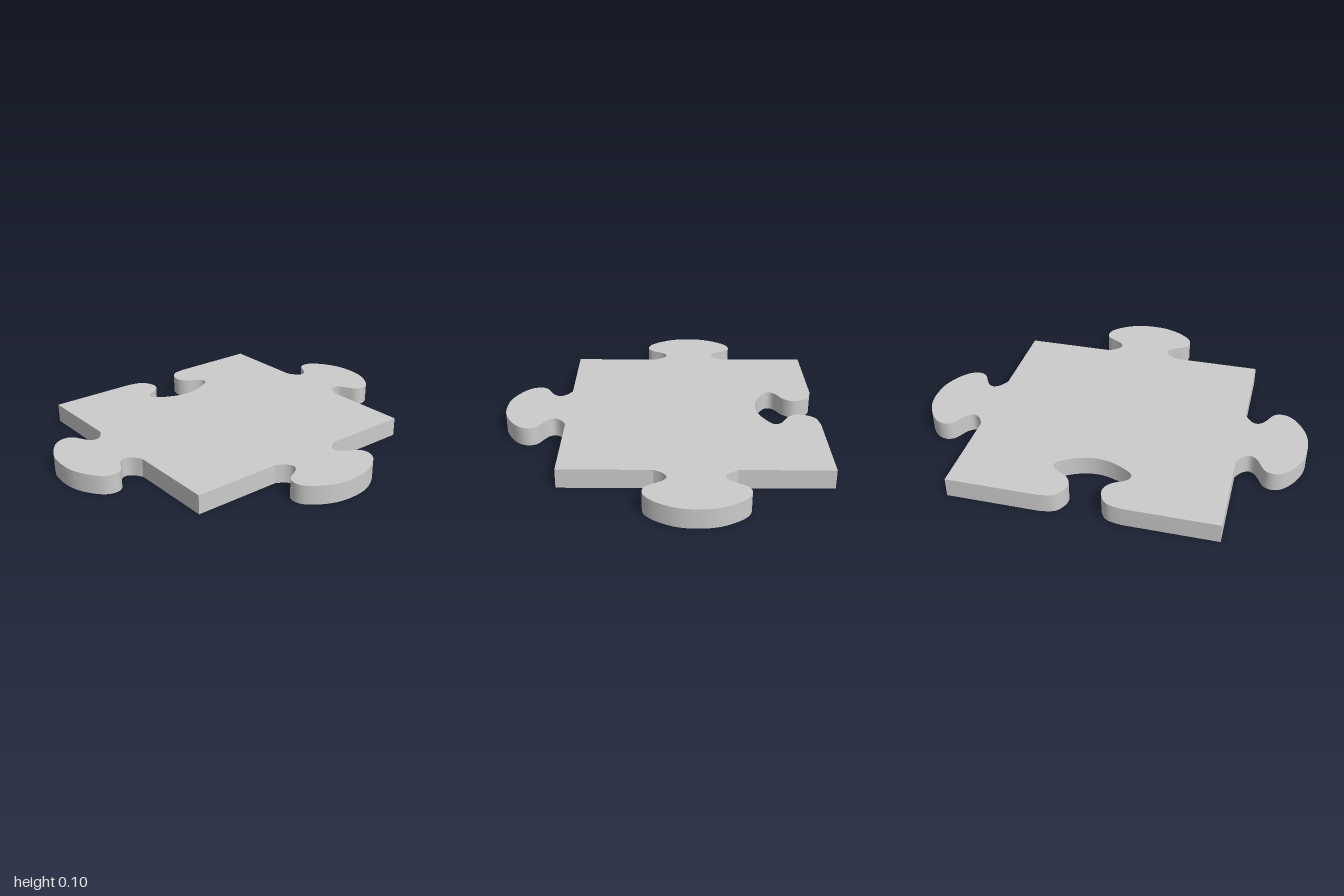
import * as THREE from 'three';
import { toCreasedNormals } from 'three/addons/utils/BufferGeometryUtils.js';

const HALF = 0.665;      // half the side of the square body
const CENTRE_X = -0.1675;
const THICKNESS = 0.1;

// Half profiles as [distance from edge middle, distance outward], ending at the tip
const TAB = [[0.2, 0], [0.158, 0.027], [0.138, 0.06], [0.15, 0.09], [0.18, 0.112], [0.235, 0.145],
  [0.25, 0.19], [0.23, 0.24], [0.172, 0.288], [0.09, 0.325], [0, 0.335]];
const SOCKET = [[0.2, 0], [0.13, -0.015], [0.095, -0.055], [0.082, -0.11], [0.11, -0.16], [0.17, -0.195],
  [0.193, -0.225], [0.178, -0.26], [0.09, -0.308], [0, -0.325]];

// Mirror a half profile and smooth it into one curve along the edge
function edgeCurve(half) {
  const first = half.map(([s, d]) => new THREE.Vector2(-s, d));
  const second = half.slice(0, -1).reverse().map(([s, d]) => new THREE.Vector2(s, d));
  return new THREE.SplineCurve([...first, ...second]).getPoints(72);
}

function pieceShape() {
  const points = [];
  // Sides counterclockwise from the right: right, back, left, front
  [TAB, TAB, SOCKET, TAB].forEach((profile, i) => {
    const angle = i * Math.PI / 2;
    const side = [new THREE.Vector2(-HALF, 0), ...edgeCurve(profile)];
    for (const p of side) {
      points.push(new THREE.Vector2(HALF + p.y, p.x)
        .rotateAround(new THREE.Vector2(), angle)
        .add(new THREE.Vector2(CENTRE_X, 0)));
    }
  });
  return new THREE.Shape(points);
}

export function createModel() {
  const group = new THREE.Group();
  group.name = 'jigsawPiece';

  // Flat plate with three tabs and one socket
  const geometry = new THREE.ExtrudeGeometry(pieceShape(), { depth: THICKNESS, bevelEnabled: false });
  geometry.rotateX(-Math.PI / 2);
  const plate = new THREE.Mesh(
    toCreasedNormals(geometry, Math.PI / 6),
    new THREE.MeshStandardMaterial({ color: 0xcccccc })
  );
  plate.name = 'plate';
  group.add(plate);
  return group;
}
